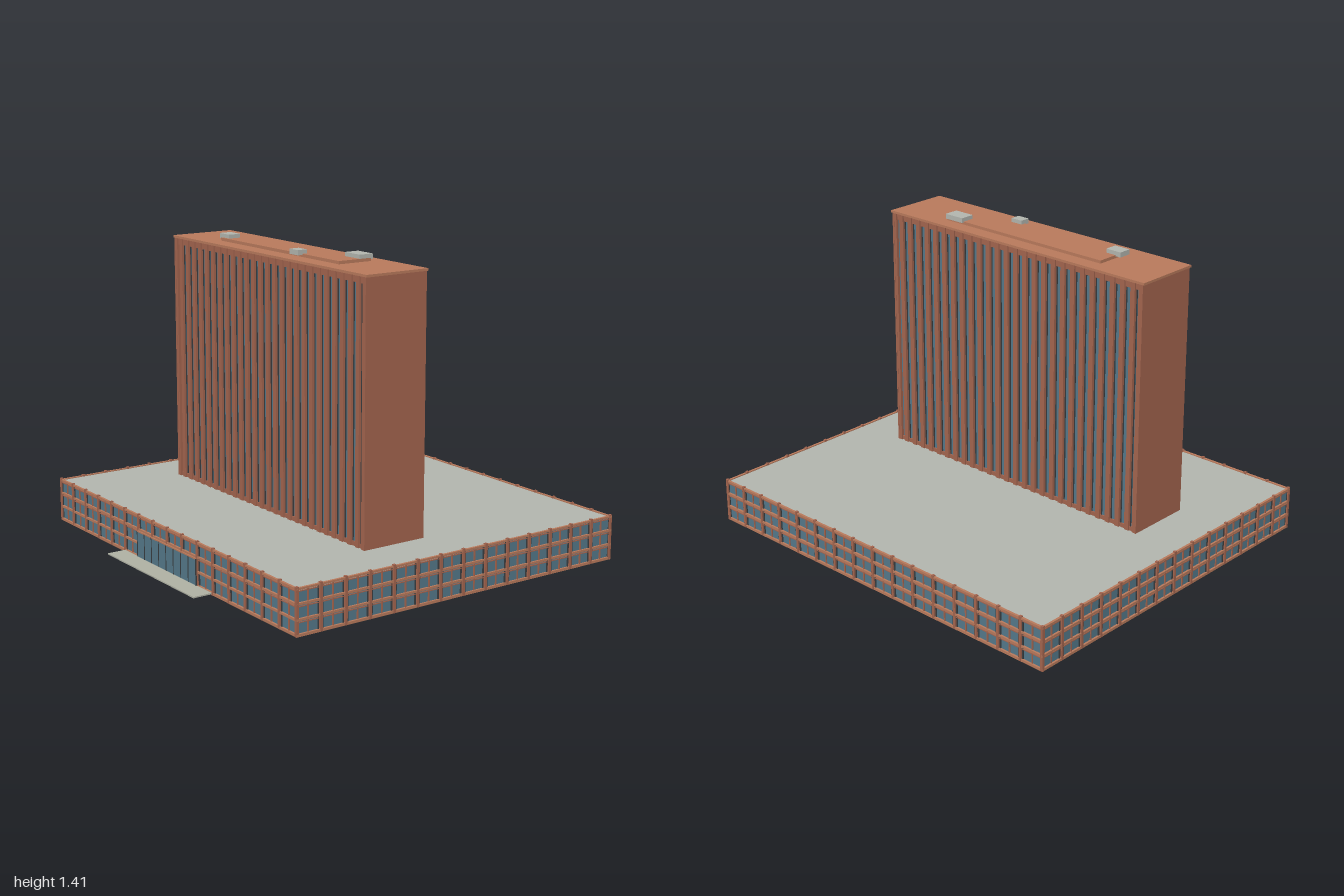
import * as THREE from 'three';

const mat = (color, side = THREE.FrontSide) => new THREE.MeshStandardMaterial({ color, side });

export function createModel() {
  const brick = mat(0xa4654f), trim = mat(0xb97a5c), stone = mat(0xb3b6af);
  const glass = mat(0x55798a, THREE.DoubleSide), dark = mat(0x3a3f42), paving = mat(0xb0b2a4);
  const model = new THREE.Group();
  model.name = 'officeBuilding';

  // Box given by its minimum and maximum corners
  const box = (parent, name, material, x0, x1, y0, y1, z0, z1) => {
    const m = new THREE.Mesh(new THREE.BoxGeometry(x1 - x0, y1 - y0, z1 - z0), material);
    m.position.set((x0 + x1) / 2, (y0 + y1) / 2, (z0 + z1) / 2);
    m.name = name;
    parent.add(m);
    return m;
  };
  const sheet = (parent, name, w, y0, y1, z) => {
    const m = new THREE.Mesh(new THREE.PlaneGeometry(w, y1 - y0), glass);
    m.position.set(0, (y0 + y1) / 2, z);
    m.name = name;
    parent.add(m);
  };

  // One podium wall, facing +z with its outer face at z = 0
  function podiumWall(name, length, bays, doorHalf = 0) {
    const g = new THREE.Group();
    g.name = name;
    const h = length / 2, step = length / bays;
    sheet(g, 'windowGlass', length - 0.02, 0, 0.2, -0.01);
    // Horizontal bands between the three storeys
    [[0, 0.012], [0.066, 0.076], [0.132, 0.142], [0.196, 0.205]].forEach(([a, b], i) => {
      if (doorHalf && i < 2) {
        box(g, 'floorBand', trim, -h, -doorHalf, a, b, -0.012, -0.001);
        box(g, 'floorBand', trim, doorHalf, h, a, b, -0.012, -0.001);
      } else box(g, 'floorBand', trim, -h, h, a, b, -0.012, -0.001);
    });
    // Window sills and lintels
    for (const y of [0.056, 0.122, 0.187]) {
      if (doorHalf && y < 0.1) continue;
      box(g, 'windowHead', brick, -h + 0.005, h - 0.005, y, y + 0.004, -0.012, -0.005);
    }
    // Piers with thin window bars between them
    for (let i = 0; i <= bays; i++) {
      const x = Math.min(Math.max(-h + i * step, -h + 0.006), h - 0.006);
      const base = Math.abs(x) < doorHalf - 0.01 ? 0.132 : 0;
      box(g, 'pier', brick, x - 0.006, x + 0.006, base, 0.21, -0.013, 0);
      if (i === bays) continue;
      const c = -h + (i + 0.5) * step;
      const low = Math.abs(c) < doorHalf ? 0.132 : 0;
      for (const s of [-1, 1])
        box(g, 'windowJamb', dark, c + s * (step / 2 - 0.011) - 0.003, c + s * (step / 2 - 0.011) + 0.003, low, 0.2, -0.012, -0.006);
      box(g, 'windowBar', brick, c - 0.003, c + 0.003, low, 0.2, -0.012, -0.005);
    }
    model.add(g);
    return g;
  }

  // Podium: hollow underneath, four walls and a roof with a low rim
  const x = 1, back = -0.91, front = 0.82, mid = (back + front) / 2, depth = front - back;
  podiumWall('podiumFront', 2 * x, 16, 0.25).position.z = front;
  const rear = podiumWall('podiumBack', 2 * x, 16);
  rear.position.z = back;
  rear.rotation.y = Math.PI;
  for (const s of [-1, 1]) {
    const side = podiumWall(s > 0 ? 'podiumLeft' : 'podiumRight', depth, 14);
    side.position.set(s * x, 0, mid);
    side.rotation.y = s * Math.PI / 2;
  }
  box(model, 'podiumRoof', stone, -0.99, 0.99, 0.19, 0.2, back + 0.01, front - 0.01);

  // Entrance: glazed screen, paving outside and steps inside
  const entrance = new THREE.Group();
  entrance.name = 'entrance';
  model.add(entrance);
  sheet(entrance, 'entranceGlass', 0.5, 0.01, 0.13, front + 0.003);
  for (let i = 0; i <= 8; i++) {
    const c = -0.25 + i * 0.0625;
    box(entrance, 'entranceBar', dark, c - 0.002, c + 0.002, 0.01, 0.13, front - 0.01, front + 0.005);
  }
  box(entrance, 'entranceHead', trim, -0.25, 0.25, 0.127, 0.133, front - 0.01, front + 0.005);
  box(entrance, 'paving', paving, -0.37, 0.37, 0.004, 0.01, 0.76, 0.91);
  for (let i = 0; i < 10; i++)
    box(entrance, 'innerStep', paving, -0.25, 0.25, 0.004 + i * 0.004, 0.01 + i * 0.004, 0.74 - i * 0.018, 0.76 - i * 0.018);

  // Tower: solid core, ribbed long faces, plain ends
  const tower = new THREE.Group();
  tower.name = 'tower';
  model.add(tower);
  const y0 = 0.2, y1 = 1.365, tz = 0.14, w = 0.755;
  box(tower, 'core', brick, -w, w, y0, y1, tz - 0.143, tz + 0.143);
  for (const s of [-1, 1])
    box(tower, 'endWall', brick, s > 0 ? w - 0.01 : -w, s > 0 ? w : -w + 0.01, y0, y1, tz - 0.16, tz + 0.16);
  const bays = 27, step = 2 * w / bays;
  for (const s of [-1, 1]) {
    const face = new THREE.Group();
    face.name = s > 0 ? 'frontFacade' : 'backFacade';
    face.position.z = tz;
    face.rotation.y = s > 0 ? 0 : Math.PI;
    tower.add(face);
    box(face, 'topBand', brick, -w, w, 1.335, y1, 0.14, 0.152);
    box(face, 'bottomBand', brick, -w, w, y0, 0.22, 0.14, 0.152);
    for (let i = 0; i < bays; i++) {
      const c = -w + (i + 0.5) * step;
      box(face, 'windowStrip', glass, c - 0.009, c + 0.009, 0.22, 1.335, 0.14, 0.146);
      for (const e of [-1, 1])
        box(face, 'windowEdge', dark, c + e * 0.011 - 0.002, c + e * 0.011 + 0.002, 0.22, 1.335, 0.14, 0.15);
    }
    for (let i = 0; i <= bays; i++) {
      const c = Math.min(Math.max(-w + i * step, -w + 0.012), w - 0.012);
      box(face, 'rib', brick, c - 0.012, c + 0.012, y0, y1, 0.14, 0.159);
    }
  }
  box(tower, 'roofSlab', trim, -0.762, 0.762, y1, 1.376, tz - 0.161, tz + 0.161);

  // Rooftop platform and service boxes
  box(tower, 'roofPlatform', trim, -0.465, 0.46, 1.376, 1.39, 0.05, 0.22);
  [[-0.493, -0.413, 0.15, 0.21], [0.13, 0.192, 0.197, 0.245], [0.355, 0.46, 0.04, 0.11]]
    .forEach(([a, b, c, d]) => box(tower, 'serviceBox', stone, a, b, 1.385, 1.408, c, d));

  return model;
}
